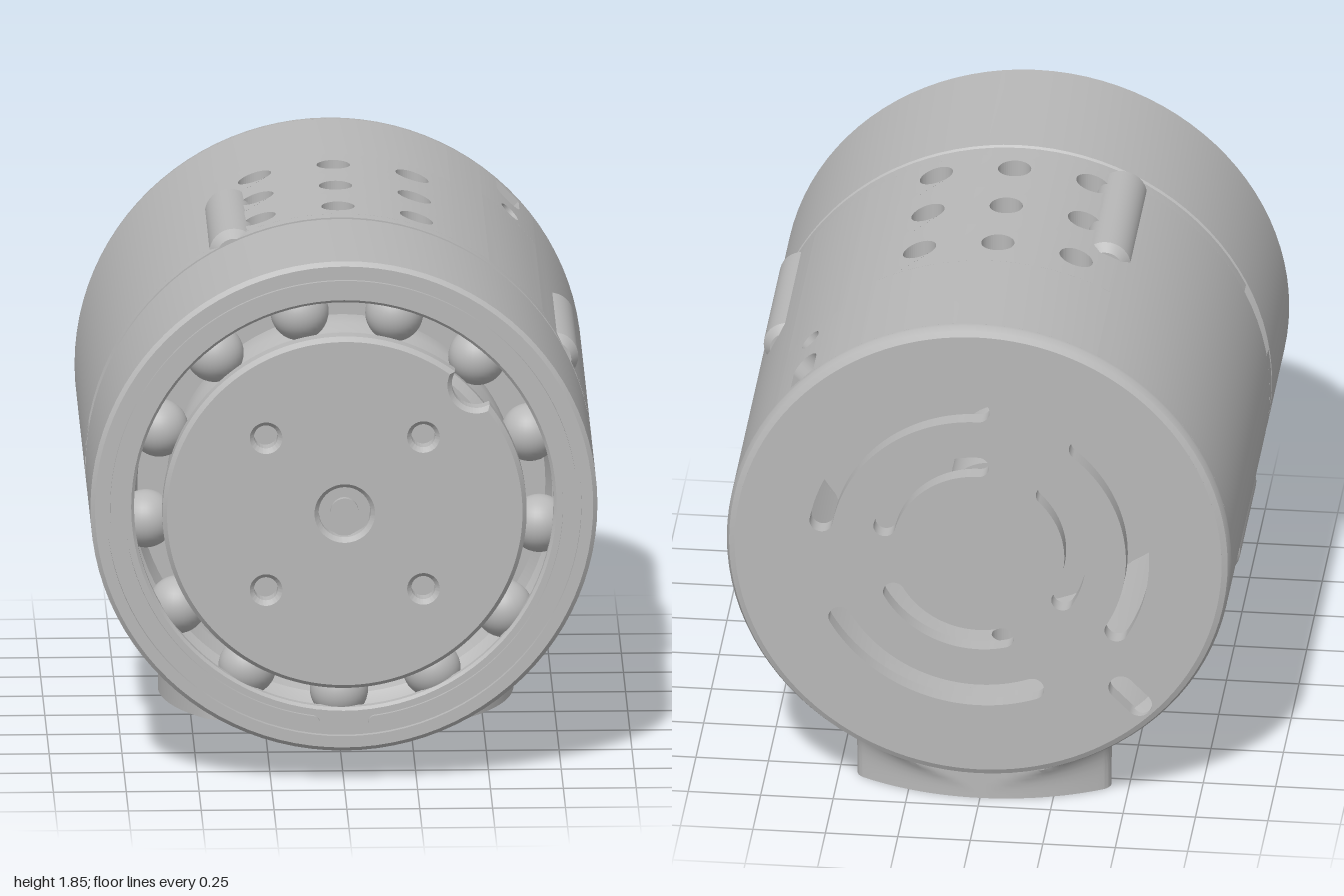
import * as THREE from 'three';
import { toCreasedNormals } from 'three/addons/utils/BufferGeometryUtils.js';

const R = 0.87, RI = 0.8, AXIS = 0.983, DEG = Math.PI / 180;

export function createModel() {
  const model = new THREE.Group();
  model.name = 'bearingHousing';
  const grey = new THREE.MeshStandardMaterial({ color: 0xb8b8b8 });
  grey.name = 'machined grey';

  // everything in body is laid out around the z axis
  const body = new THREE.Group();
  body.name = 'body';
  body.position.y = AXIS;
  model.add(body);

  const add = (parent, name, geo) => {
    const m = new THREE.Mesh(geo, grey);
    m.name = name;
    parent.add(m);
    return m;
  };
  const crease = (geo, a = 0.55) => toCreasedNormals(geo, a);
  const extrude = (shape, depth, opts = {}) =>
    new THREE.ExtrudeGeometry(shape, { depth, bevelEnabled: false, curveSegments: 24, ...opts });
  // revolve (radius, z) points about z; angles run from the top towards +x
  const turn = (pts, t0 = 0, t1 = 2 * Math.PI, seg = 96) => {
    const n = Math.max(2, Math.ceil(seg * (t1 - t0) / (2 * Math.PI)));
    const g = new THREE.LatheGeometry(pts.map(p => new THREE.Vector2(...p)), n, Math.PI - t1, t1 - t0);
    return crease(g.rotateX(Math.PI / 2));
  };
  // curved slot with round ends
  const arcSlot = (r, w, a0, a1) => {
    const s = new THREE.Shape(), h = w / 2;
    s.absarc(0, 0, r + h, a0, a1, false);
    s.absarc(r * Math.cos(a1), r * Math.sin(a1), h, a1, a1 + Math.PI, false);
    s.absarc(0, 0, r - h, a1, a0, true);
    s.absarc(r * Math.cos(a0), r * Math.sin(a0), h, a0 + Math.PI, a0 + 2 * Math.PI, false);
    return s;
  };
  const circle = (x, y, r) => new THREE.Path().absarc(x, y, r, 0, 2 * Math.PI, false);

  // shell: plain curved bands, leaving room for the drilled patches and notches
  const a = Math.asin(0.405 / R), b = Math.asin(0.13 / R), q = Math.PI / 4, P = Math.PI;
  const bands = [
    [a, q - b, -0.955, 0.28], [q - b, q + b, -0.59, 0.28], [q + b, P - a, -0.955, 0.28],
    [P + a, 2 * P - a, -0.955, 0.28], [-a, a, -0.955, -0.495], [P - a, P + a, -0.955, -0.495],
    [116 * DEG, 279 * DEG, 0.28, 0.33], [296 * DEG, 459 * DEG, 0.28, 0.33],
  ];
  for (const [t0, t1, z0, z1] of bands)
    add(body, 'shellBand', turn([[RI, z0], [R, z0], [R, z1], [RI, z1], [RI, z0]], t0, t1));

  // drilled patch of shell: a flat tile bent onto the cylinder
  const patch = (angle, x0, x1, z0, z1, hole) => {
    const pts = [], n = 12;
    for (let i = 0; i <= n; i++) pts.push(new THREE.Vector2(x0 + (x1 - x0) * i / n, -z1));
    for (let i = 0; i <= n; i++) pts.push(new THREE.Vector2(x1 + (x0 - x1) * i / n, -z0));
    const s = new THREE.Shape(pts);
    if (hole) s.holes.push(hole);
    const g = extrude(s, 1).rotateX(-P / 2);
    const p = g.attributes.position, nm = g.attributes.normal;
    for (let i = 0; i < p.count; i++) {
      const r = p.getY(i) > 0.5 ? R : RI, x = p.getX(i), y = Math.sqrt(r * r - x * x);
      p.setY(i, y);
      const d = Math.sign(nm.getY(i));
      if (Math.abs(nm.getY(i)) > 0.5) nm.setXYZ(i, d * x / r, d * y / r, 0);
    }
    add(body, 'drilledShell', g.rotateZ(-angle));
  };
  const zEdges = [-0.495, -0.225, 0.045, 0.28], zHoles = [-0.36, -0.09, 0.18];
  for (let i = -1; i <= 1; i++) for (let j = 0; j < 3; j++) {
    const x = i * 0.27, box = [x - 0.135, x + 0.135, zEdges[j], zEdges[j + 1]];
    patch(0, ...box, circle(x, -zHoles[j], 0.057));
    const drilled = (i !== 0) === (j !== 1);
    patch(P, ...box, drilled ? circle(x, -zHoles[j], 0.05) : null);
  }
  patch(q, -0.13, 0.13, -0.75, -0.59, circle(0, 0.66, 0.04));
  const slot = new THREE.Path();
  slot.moveTo(-0.055, 0.94).lineTo(-0.055, 0.845);
  slot.absarc(0, 0.845, 0.055, P, 2 * P, false);
  slot.lineTo(0.055, 0.94).lineTo(-0.055, 0.94);
  patch(q, -0.13, 0.13, -0.955, -0.75, slot);

  // back plate with vents and a cable slot, inside a rounded rim
  const plate = new THREE.Shape().absarc(0, 0, 0.84, 0, 2 * P, false);
  for (let k = 0; k < 3; k++) {
    plate.holes.push(arcSlot(0.55, 0.08, (10 + 120 * k) * DEG, (90 + 120 * k) * DEG));
    plate.holes.push(arcSlot(0.335, 0.075, (15 + 120 * k) * DEG, (90 + 120 * k) * DEG));
  }
  const c = Math.SQRT1_2, w = 0.045, cable = new THREE.Path();
  cable.absarc(-0.7 * c, -0.7 * c, w, -q, 3 * q, false);
  cable.absarc(-0.785 * c, -0.785 * c, w, 3 * q, 7 * q, false);
  plate.holes.push(cable);
  add(body, 'backPlate', extrude(plate, 0.06, { curveSegments: 64 }).translate(0, 0, -1));
  add(body, 'backRim', turn([[0.84, -1], [0.86, -0.99], [0.87, -0.97], [0.87, -0.955], [0.8, -0.955], [0.835, -0.99]]));

  // ribs along the shell
  for (const deg of [26, 116, 206]) {
    const rib = turn([[0, -0.26], [0.06, -0.26], [0.085, -0.23], [0.085, 0.29], [0.06, 0.33], [0, 0.33]], 0, 2 * P, 32);
    add(body, 'rib', rib).position.set(0.82 * Math.cos(deg * DEG), 0.82 * Math.sin(deg * DEG), 0);
  }

  // core and shaft inside the shell
  add(body, 'core', turn([[0, -0.2], [0.62, -0.2], [0.62, 0.29], [0, 0.29]]));
  add(body, 'shaft', turn([[0, -0.62], [0.15, -0.62], [0.15, -0.19], [0, -0.19]], 0, 2 * P, 48));

  // front housing with the ball race
  add(body, 'frontHousing', turn([
    [0, 0.27], [0.79, 0.27], [0.79, 0.335], [0.855, 0.335], [0.87, 0.35], [0.87, 0.9], [0.855, 0.915],
    [0.815, 0.915], [0.815, 0.895], [0.73, 0.895], [0.72, 0.885], [0.72, 0.86], [0.76, 0.83], [0.775, 0.79],
    [0.76, 0.74], [0.72, 0.7], [0.7, 0.6], [0.6, 0.6], [0.6, 0.71], [0.58, 0.75], [0.575, 0.79],
    [0.585, 0.84], [0.6, 0.87], [0.6, 0.9], [0.57, 0.92], [0, 0.92]]));
  add(body, 'retainingRing', extrude(arcSlot(0.777, 0.05, -82 * DEG, 262 * DEG), 0.013, { curveSegments: 96 }).translate(0, 0, 0.895));

  for (let i = 0; i < 13; i++) {
    const t = 75 * DEG + i * 2 * P / 13;
    add(body, 'ball', new THREE.SphereGeometry(0.1, 32, 20)).position.set(0.68 * Math.cos(t), 0.68 * Math.sin(t), 0.79);
  }

  // hub disc with a ball loading bite, screw holes and a centre bore
  const HR = 0.61, d = 0.64, br = 0.1;
  const th = Math.acos((HR * HR + d * d - br * br) / (2 * HR * d));
  const off = Math.atan2(HR * Math.sin(th), HR * Math.cos(th) - d);
  const hub = new THREE.Shape();
  hub.absarc(0, 0, HR, q + th, q + 2 * P - th, false);
  hub.absarc(d * c, d * c, br, q - off, q + off, true);
  for (const x of [-0.27, 0.27]) for (const y of [-0.27, 0.27]) hub.holes.push(circle(x, y, 0.056));
  hub.holes.push(circle(0, 0, 0.104));
  add(body, 'hubDisc', crease(extrude(hub, 0.05, {
    bevelEnabled: true, bevelSize: 0.015, bevelThickness: 0.018, bevelSegments: 1, bevelOffset: 0, curveSegments: 64,
  }).translate(0, 0, 0.932), 0.4));
  add(body, 'centreNut', crease(new THREE.CylinderGeometry(0.098, 0.098, 0.05, 6).rotateX(P / 2).translate(0, 0, 0.935)));
  add(body, 'centreBolt', crease(new THREE.CylinderGeometry(0.048, 0.048, 0.08, 24).rotateX(P / 2).translate(0, 0, 0.94)));

  // mounting base: drilled sole and a wall flaring up into the shell
  const hull = x => AXIS - Math.sqrt(0.86 * 0.86 - x * x);
  const sole = [];
  for (let i = 0; i < 96; i++) {
    const t = i * 2 * P / 96;
    sole.push(new THREE.Vector2(0.61 * Math.cos(t), Math.max(-0.33, 0.09 + 0.61 * Math.sin(t))));
  }
  const soleShape = new THREE.Shape(sole);
  for (const [x, z] of [[0, -0.09], [-0.27, -0.36], [0.27, -0.36], [-0.27, 0.18], [0.27, 0.18]])
    soleShape.holes.push(circle(x, -z, 0.05));
  add(model, 'baseSole', extrude(soleShape, 0.07).rotateX(-P / 2).translate(0, 0.07, 0));

  const wall = new THREE.PlaneGeometry(1, 1, 96, 10), wp = wall.attributes.position;
  for (let i = 0; i < wp.count; i++) {
    const t = wp.getY(i) + 0.5, ang = (wp.getX(i) + 0.5) * 2 * P, r = 0.61 + 0.12 * t ** 5;
    const x = r * Math.sin(ang);
    wp.setXYZ(i, x, 0.07 + (hull(x) - 0.07) * t, Math.min(0.33, -0.09 + r * Math.cos(ang)));
  }
  add(model, 'baseWall', crease(wall, 0.6));

  // curved rear foot with a groove, spreading towards the shell
  const footShape = arcSlot(0.8, 0.1, 61 * DEG, 119 * DEG);
  footShape.holes.push(arcSlot(0.8, 0.03, 66 * DEG, 114 * DEG));
  const foot = extrude(footShape, 1, { steps: 8 }).rotateX(-P / 2), fp = foot.attributes.position;
  for (let i = 0; i < fp.count; i++) {
    const x = fp.getX(i), z = fp.getZ(i), t = fp.getY(i), r = Math.hypot(x, z);
    const k = (0.8 + (r - 0.8) * (1 + 1.8 * t ** 4)) / r;
    fp.setXYZ(i, x * k, t * (hull(x * k) + 0.01), Math.max(-0.94, z * k - 0.09));
  }
  add(model, 'rearFoot', crease(foot, 0.6));
  return model;
}
